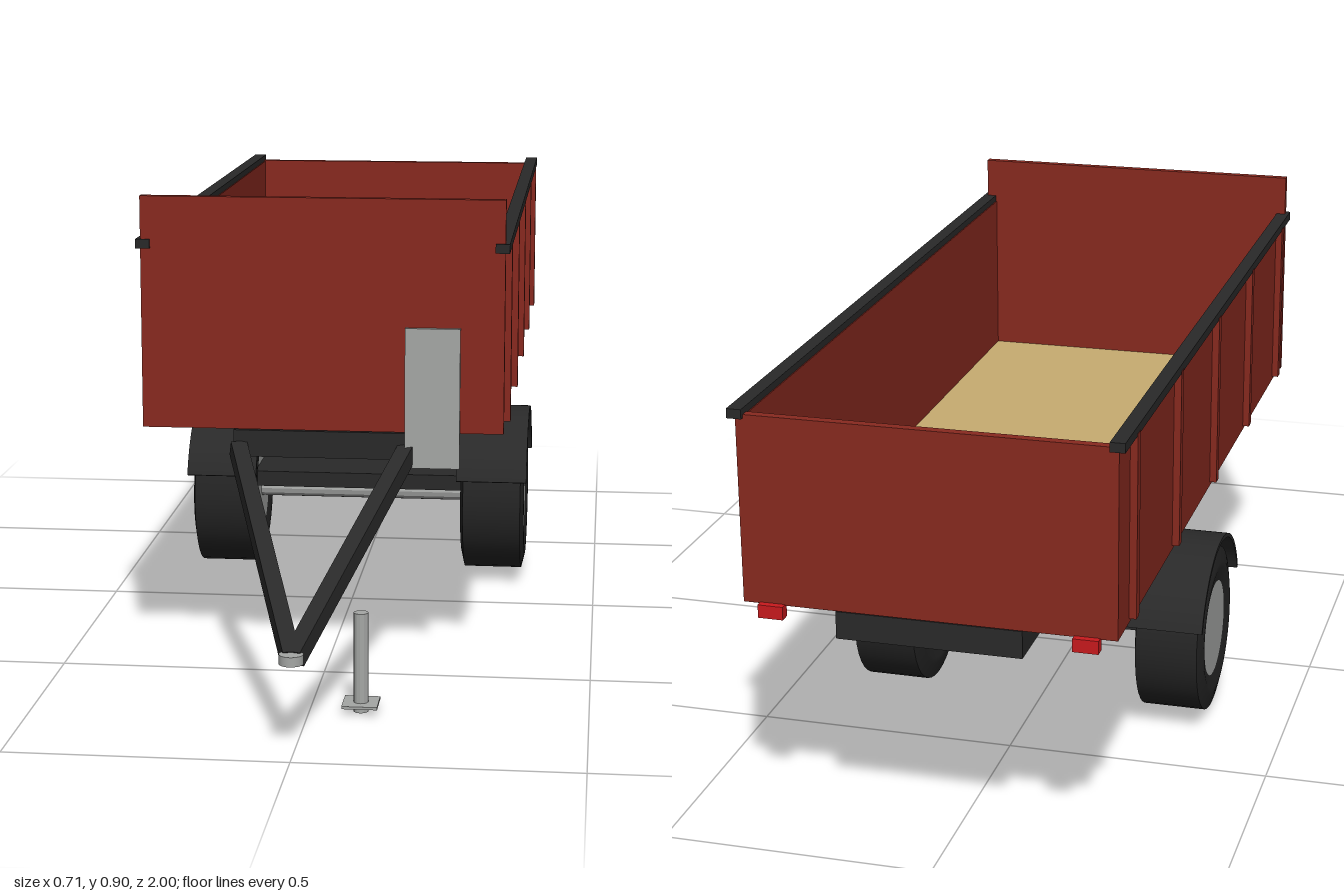
import * as THREE from 'three';

const mat = (name, color) => {
  const m = new THREE.MeshStandardMaterial({ color });
  m.name = name;
  return m;
};

export function createModel() {
  const red = mat('red paint', 0x88291f);
  const black = mat('black steel', 0x292929);
  const rubber = mat('tyre rubber', 0x242424);
  const grey = mat('galvanised steel', 0xa5a7a5);
  const wood = mat('plywood', 0xc7ac71);
  const lamp = mat('lamp red', 0xc81a1d);

  const model = new THREE.Group();
  model.name = 'trailer';

  const add = (name, geometry, material, parent = model) => {
    const mesh = new THREE.Mesh(geometry, material);
    mesh.name = name;
    parent.add(mesh);
    return mesh;
  };
  // Box given by its minimum and maximum on each axis
  const box = (name, material, x0, x1, y0, y1, z0, z1) => {
    const mesh = add(name, new THREE.BoxGeometry(x1 - x0, y1 - y0, z1 - z0), material);
    mesh.position.set((x0 + x1) / 2, (y0 + y1) / 2, (z0 + z1) / 2);
    return mesh;
  };
  // Faceted round bar along y
  const bar = (radius, length) => {
    const g = new THREE.CylinderGeometry(radius, radius, length, 12).toNonIndexed();
    g.computeVertexNormals();
    return g;
  };

  // Cargo bed
  box('bedBase', red, -0.325, 0.325, 0.471, 0.48, -0.985, 0.52);
  box('bedFloor', wood, -0.314, 0.314, 0.48, 0.485, -0.97, 0.512);
  box('frontBoard', red, -0.334, 0.334, 0.472, 0.902, 0.512, 0.528);
  box('tailgate', red, -0.33, 0.33, 0.472, 0.812, -0.987, -0.97);

  // Chassis under the bed
  box('chassis', black, -0.165, 0.165, 0.42, 0.47, -0.985, 0.528);

  // Axle and its carrier
  const axleZ = -0.245, axleY = 0.177;
  const axle = add('axle', bar(0.02, 0.48), grey);
  axle.rotation.z = Math.PI / 2;
  axle.position.set(0, axleY, axleZ);
  box('axleBeam', black, -0.23, 0.23, 0.204, 0.236, axleZ - 0.11, axleZ + 0.11);

  // Tyre ring profile (radius, width), with chamfered shoulders
  const tyreGeometry = new THREE.LatheGeometry([
    [0.094, -0.062], [0.12, -0.067], [0.132, -0.067], [0.161, -0.06], [0.161, -0.06],
    [0.161, 0.06], [0.161, 0.06], [0.132, 0.067], [0.12, 0.067], [0.094, 0.062],
  ].map(([r, w]) => new THREE.Vector2(r, w)), 40);

  // Curved mudguard strip around the wheel centre
  const a0 = THREE.MathUtils.degToRad(19.5), a1 = Math.PI - a0;
  const arc = new THREE.Shape();
  arc.absarc(0, 0, 0.188, a0, a1, false);
  arc.absarc(0, 0, 0.18, a1, a0, true);
  arc.closePath();
  const guardGeometry = new THREE.ExtrudeGeometry(arc, { depth: 0.146, bevelEnabled: false, curveSegments: 24 });
  guardGeometry.translate(0, 0, -0.073);
  guardGeometry.rotateY(Math.PI / 2);

  for (const s of [-1, 1]) {
    const side = s > 0 ? 'left' : 'right';
    const span = (name, material, xa, xb, ...rest) =>
      box(side + name, material, Math.min(s * xa, s * xb), Math.max(s * xa, s * xb), ...rest);

    // Side wall, ribs and capping rail
    span('Wall', red, 0.314, 0.33, 0.472, 0.81, -0.985, 0.526);
    for (let i = 0; i < 5; i++) {
      const z = -0.9 + i * 0.335;
      span('Rib' + i, red, 0.328, 0.343, 0.48, 0.81, z - 0.01, z + 0.01);
    }
    span('TopRail', black, 0.316, 0.342, 0.806, 0.823, -0.995, 0.534);
    span('TailLamp', lamp, 0.255, 0.3, 0.45, 0.474, -1.0, -0.98);

    // Wheel and mudguard
    const wheel = new THREE.Group();
    wheel.name = side + 'Wheel';
    wheel.position.set(s * 0.284, axleY, axleZ);
    model.add(wheel);
    add('tyre', tyreGeometry, rubber, wheel).rotation.z = Math.PI / 2;
    add('rim', new THREE.CylinderGeometry(0.095, 0.095, 0.124, 40), grey, wheel).rotation.z = Math.PI / 2;
    add('mudguard', guardGeometry, black, wheel);

    // Sloping drawbar arm, meeting at the coupling
    const top = new THREE.Vector3(s * 0.157, 0.435, 0.522);
    const tip = new THREE.Vector3(s * 0.003, 0.172, 0.964);
    const arm = add(side + 'DrawbarArm', new THREE.BoxGeometry(0.03, 0.032, top.distanceTo(tip)), black);
    arm.position.copy(top).lerp(tip, 0.5);
    arm.lookAt(tip);
  }

  // Coupling head
  const coupling = add('coupling', new THREE.CylinderGeometry(0.021, 0.021, 0.017, 24), grey);
  coupling.position.set(0, 0.176, 0.979);

  // Front plate
  box('frontPlate', grey, 0.153, 0.254, 0.407, 0.667, 0.528, 0.537);

  // Support leg with foot plate
  add('supportLeg', bar(0.0135, 0.184), grey).position.set(0.092, 0.092, 0.72);
  box('supportFoot', grey, 0.06, 0.124, 0.013, 0.018, 0.688, 0.752);

  return model;
}
